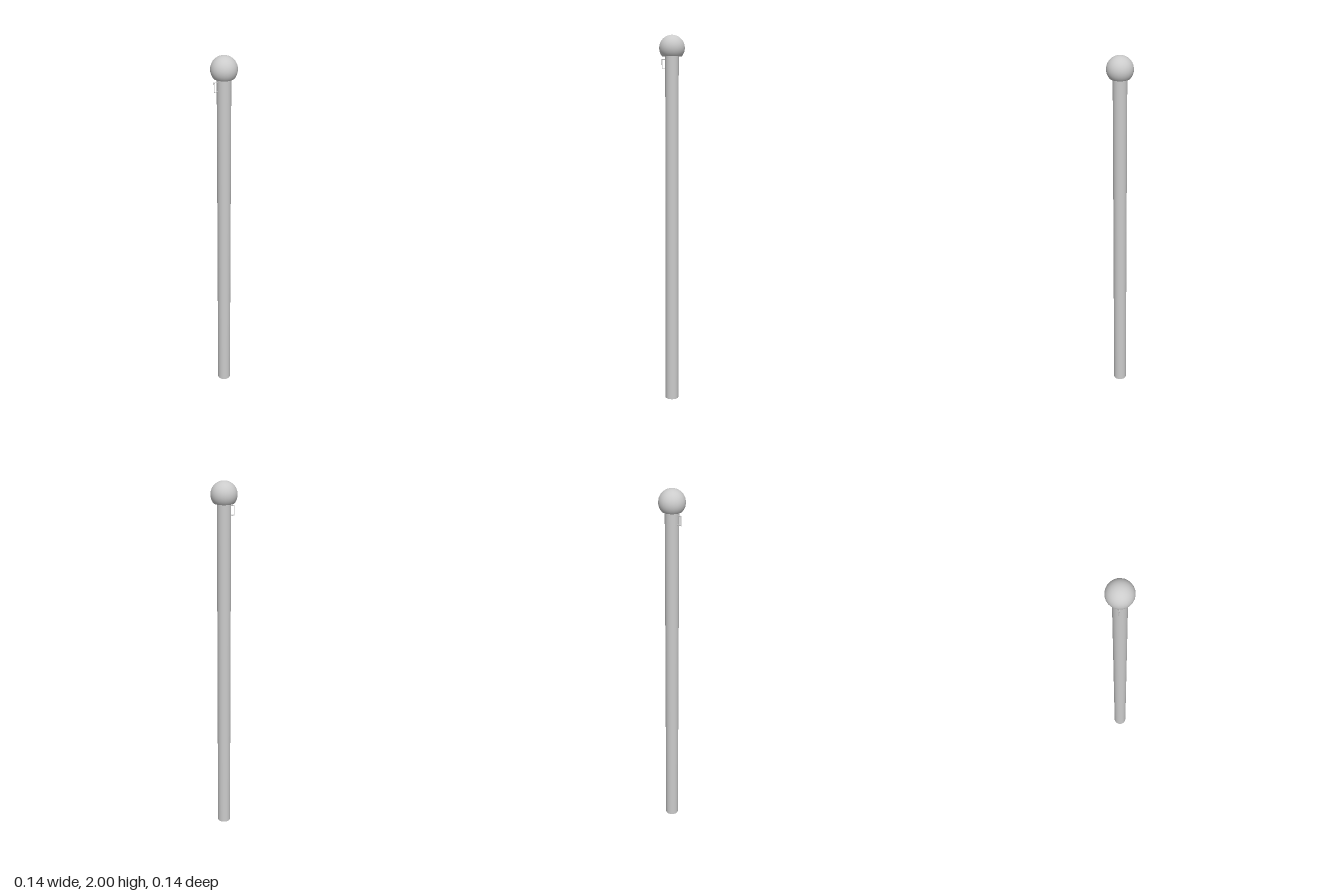
import * as THREE from 'three';

export function createModel() {
  const group = new THREE.Group();
  const material = new THREE.MeshStandardMaterial({ color: 0xcccccc, side: THREE.DoubleSide });
  const add = (name, geometry, x = 0, y = 0) => {
    const mesh = new THREE.Mesh(geometry, material);
    mesh.name = name;
    mesh.position.set(x, y, 0);
    group.add(mesh);
    return mesh;
  };

  const ballRadius = 0.068, ballY = 2 - ballRadius;
  const poleRadius = 0.036, poleTop = 1.889;

  // Straight round pole
  add('pole', new THREE.CylinderGeometry(poleRadius, poleRadius, poleTop, 24), 0, poleTop / 2);

  // Ball finial, cut flat where it sits on the pole
  const cutAngle = Math.acos((poleTop - ballY) / ballRadius);
  add('ball', new THREE.SphereGeometry(ballRadius, 24, 16, 0, Math.PI * 2, 0, cutAngle), 0, ballY);
  const base = add('ballBase', new THREE.CircleGeometry(ballRadius * Math.sin(cutAngle), 24), 0, poleTop);
  base.rotation.x = Math.PI / 2;

  // Small square wire loop on the right side of the pole
  const wire = 0.002, outerX = -0.056, loopTop = 1.873, loopBottom = 1.825;
  const barLength = 0.024;
  for (const [name, y] of [['loopTopBar', loopTop], ['loopBottomBar', loopBottom]]) {
    const bar = add(name, new THREE.CylinderGeometry(wire, wire, barLength, 8), outerX + barLength / 2, y);
    bar.rotation.z = Math.PI / 2;
  }
  add('loopUpright', new THREE.CylinderGeometry(wire, wire, loopTop - loopBottom + 2 * wire, 8),
    outerX, (loopTop + loopBottom) / 2);

  return group;
}
